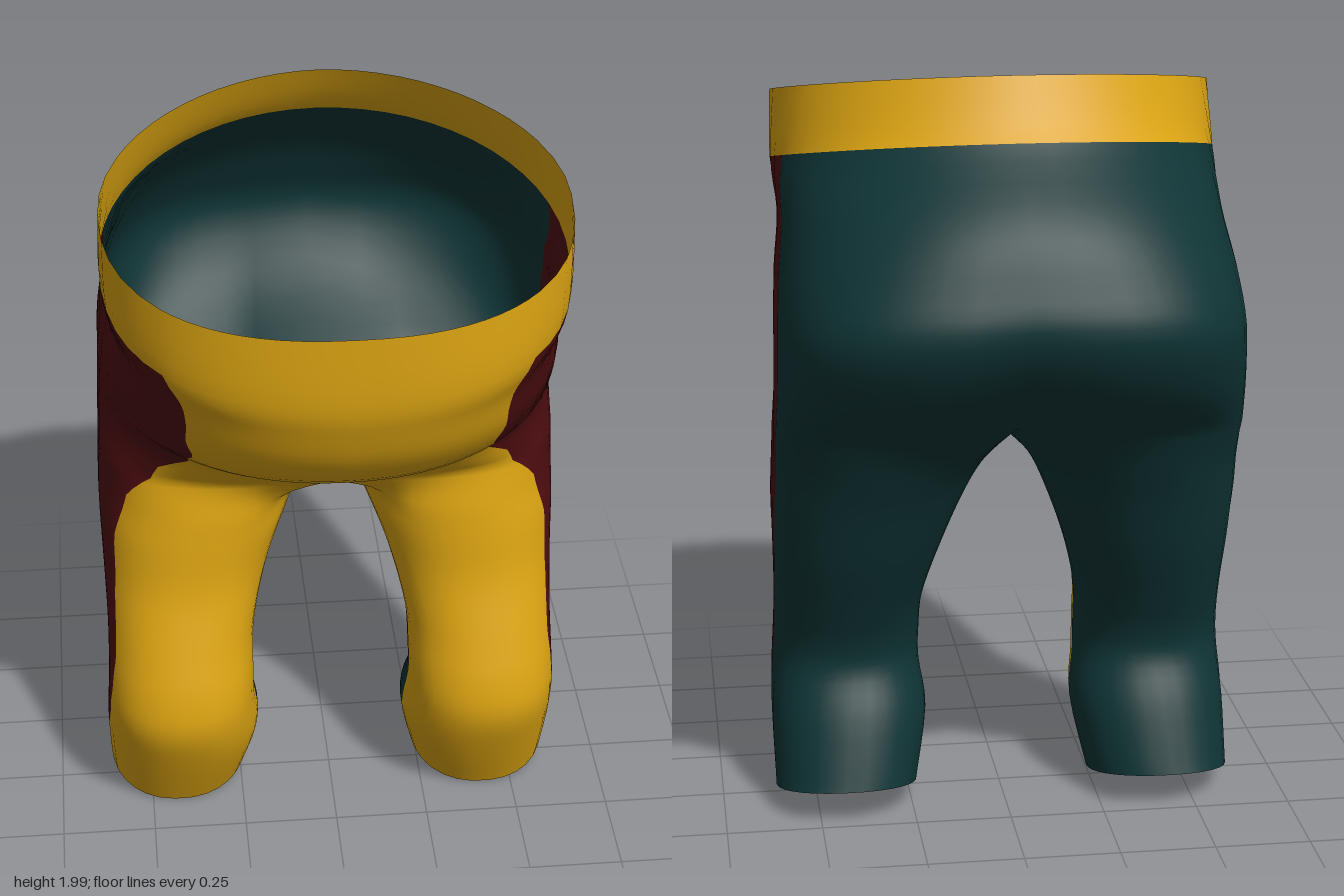
import * as THREE from 'three';
import { mergeVertices } from 'three/addons/utils/BufferGeometryUtils.js';

// Torso rings, waist to crotch: front y, z, back y, z, half width, front and back squareness, cleft depth
const TORSO = [
  [1.81, 0.70, 2.00, -0.32, 0.57, 2.3, 1.9, 0],
  [1.63, 0.695, 1.85, -0.41, 0.575, 2.4, 2.0, 0],
  [1.53, 0.67, 1.69, -0.58, 0.565, 2.3, 2.4, 0],
  [1.41, 0.615, 1.55, -0.66, 0.58, 2.2, 2.9, 0],
  [1.29, 0.50, 1.42, -0.70, 0.59, 2.1, 3.1, 0.01],
  [1.18, 0.31, 1.26, -0.62, 0.595, 2.1, 3.0, 0.04],
  [1.07, 0.16, 1.12, -0.47, 0.60, 3.4, 3.2, 0.11],
];
// Leg rings, thigh to cuff: front y, z, back y, z, inner x, outer x
const LEG = [
  [0.97, 0.155, 1.00, -0.385, 0.06, 0.605],
  [0.87, 0.165, 0.89, -0.33, 0.11, 0.607],
  [0.73, 0.18, 0.73, -0.26, 0.165, 0.603],
  [0.57, 0.23, 0.58, -0.185, 0.205, 0.60],
  [0.44, 0.27, 0.47, -0.135, 0.212, 0.603],
  [0.33, 0.275, 0.39, -0.13, 0.212, 0.608],
  [0.19, 0.22, 0.28, -0.19, 0.20, 0.613],
  [0.01, 0.13, 0.11, -0.26, 0.235, 0.61],
];
const CROTCH = TORSO.length - 1;
const LAST = CROTCH + LEG.length;

// Colour borders as [y, z], from the top down
const FRONT_EDGE = [[1.64, 0.55], [1.6, 0.555], [1.47, 0.51], [1.34, 0.43], [1.21, 0.245], [1.13, 0.14],
  [1.0, 0.075], [0.86, 0.06], [0.7, 0.085], [0.52, 0.14], [0.41, 0.14], [0.31, 0.11], [0.24, 0.05], [0.07, -0.02]];
const BACK_EDGE = [[1.755, -0.01], [1.66, -0.03], [1.58, -0.1], [1.42, -0.23], [1.32, -0.275], [1.21, -0.275],
  [1.08, -0.235], [0.89, -0.155], [0.73, -0.075], [0.57, 0.005], [0.41, 0.05], [0.24, 0.05], [0.07, -0.02]];
const INNER_EDGE = [[1.06, -0.14], [0.9, -0.09], [0.73, -0.02], [0.57, 0.04], [0.41, 0.08], [0.25, 0.05], [0.07, -0.03]];

const lerp = THREE.MathUtils.lerp;
const spow = (s, n) => Math.sign(s) * Math.abs(s) ** (2 / n);

function edgeZ(edge, y) {
  if (y >= edge[0][0]) return edge[0][1];
  for (let i = 1; i < edge.length; i++) {
    const [y0, z0] = edge[i - 1], [y1, z1] = edge[i];
    if (y >= y1) return lerp(z0, z1, (y0 - y) / (y0 - y1));
  }
  return edge.at(-1)[1];
}

function torsoPoint(row, u) {
  const [yf, zf, yb, zb, w, nf, nb, cleft] = TORSO[row];
  const a = u * Math.PI, n = a < Math.PI / 2 ? nf : nb;
  const x = u === 0 || u === 1 ? 0 : w * spow(Math.sin(a), n);
  let z = (zf + zb) / 2 + (zf - zb) / 2 * spow(Math.cos(a), n);
  const y = lerp(yf, yb, Math.max(0, (zf - z) / (zf - zb)) ** 1.2);
  if (u > 0.5) z += cleft * Math.max(0, 1 - x / 0.25) ** 2;
  return new THREE.Vector3(x, y, z);
}

function legPoint(row, a) {
  const [yf, zf, yb, zb, xi, xo] = LEG[row - CROTCH - 1];
  const c = spow(Math.cos(a), 2.2), s = spow(Math.sin(a), 2.2);
  return new THREE.Vector3((xi + xo) / 2 + (xo - xi) / 2 * s, lerp(yf, yb, (1 - c) / 2), lerp(zf, zb, (1 - c) / 2));
}

// u runs front, outside, back; s runs back, inside, front
const outerRow = (row, u) => row <= CROTCH ? torsoPoint(row, u) : legPoint(row, Math.PI * (1.5 * u - 0.25));
function innerRow(row, s) {
  if (row > CROTCH) return legPoint(row, Math.PI * (1.25 + 0.5 * s));
  const p = torsoPoint(CROTCH, 1).lerp(torsoPoint(CROTCH, 0), s);
  p.y -= 0.05 * Math.sin(Math.PI * s);
  return p;
}

// Smooth interpolation between rings
function surface(rowFn, v, u) {
  const i = Math.min(Math.floor(v), LAST - 1), t = v - i;
  const lo = i >= CROTCH ? CROTCH : 0, hi = i >= CROTCH ? LAST : CROTCH;
  const [a, b, c, d] = [Math.max(lo, i - 1), i, i + 1, Math.min(hi, i + 2)].map((r) => rowFn(r, u));
  const f = (k) => b[k] + 0.5 * t * (c[k] - a[k] + t * (2 * a[k] - 5 * b[k] + 4 * c[k] - d[k]
    + t * (3 * (b[k] - c[k]) + d[k] - a[k])));
  return new THREE.Vector3(f('x'), f('y'), f('z'));
}
const outer = (v, u) => surface(outerRow, v, u);
const inner = (v, s) => surface(innerRow, v, s);

// Finds where a ring crosses a colour border
function cross(fn, v, edge, lo, hi, sign) {
  for (let i = 0; i < 24; i++) {
    const m = (lo + hi) / 2, p = fn(v, m);
    if (sign * (p.z - edgeZ(edge, p.y)) > 0) lo = m; else hi = m;
  }
  return (lo + hi) / 2;
}
const backU = (v) => cross(outer, v, BACK_EDGE, v > CROTCH ? 0.17 : 0.1, 0.95, 1);
const frontU = (v) => Math.min(backU(v), cross(outer, v, FRONT_EDGE, v > CROTCH ? 0.17 : 0.1, 0.95, 1));
const innerS = (v) => cross(inner, v, INNER_EDGE, 0, 1, -1);
const zero = () => 0, one = () => 1;

export function createModel() {
  const mustard = new THREE.MeshStandardMaterial({ color: 0xdba412, side: THREE.DoubleSide });
  mustard.name = 'mustard';
  const maroon = new THREE.MeshStandardMaterial({ color: 0x4d0d10, side: THREE.DoubleSide });
  maroon.name = 'maroon';
  const teal = new THREE.MeshStandardMaterial({ color: 0x0f3435, side: THREE.DoubleSide });
  teal.name = 'teal';

  const parts = {
    waistband: { material: mustard, index: [] },
    frontPanel: { material: mustard, index: [] },
    sidePanels: { material: maroon, index: [] },
    backPanel: { material: teal, index: [] },
  };
  const positions = [];

  // Lays a strip of cloth between two borders, on both sides of the body
  function strip(part, fn, v0, v1, from, to, cols) {
    const rows = (v1 - v0) * 4;
    for (const side of [1, -1]) {
      const base = positions.length / 3;
      for (let r = 0; r <= rows; r++) {
        const v = v0 + r / 4, a = from(v), b = to(v);
        for (let c = 0; c <= cols; c++) {
          const p = fn(v, c === cols ? b : lerp(a, b, c / cols));
          positions.push(side * p.x, p.y, p.z);
        }
      }
      for (let r = 0; r < rows; r++) {
        for (let c = 0; c < cols; c++) {
          const i = base + r * (cols + 1) + c, j = i + 1, k = i + cols + 1, l = k + 1;
          parts[part].index.push(...(side > 0 ? [i, k, j, j, k, l] : [i, j, k, j, l, k]));
        }
      }
    }
  }

  // Waistband, then the panels running down the outside of the legs
  for (const [v0, v1, front, middle, back] of [
    [0, 1, 'waistband', 'waistband', 'waistband'],
    [1, LAST, 'frontPanel', 'sidePanels', 'backPanel'],
  ]) {
    strip(front, outer, v0, v1, zero, frontU, 10);
    strip(middle, outer, v0, v1, frontU, backU, 8);
    strip(back, outer, v0, v1, backU, one, 12);
  }
  // Inside of the legs
  strip('backPanel', inner, CROTCH, LAST, zero, innerS, 5);
  strip('frontPanel', inner, CROTCH, LAST, innerS, one, 5);

  // Weld everything so that shading runs smoothly across the colour borders
  let cloth = new THREE.BufferGeometry();
  cloth.setAttribute('position', new THREE.Float32BufferAttribute(positions, 3));
  cloth.setIndex(Object.values(parts).flatMap((p) => p.index));
  cloth = mergeVertices(cloth, 1e-4);
  cloth.computeVertexNormals();

  const model = new THREE.Group();
  model.name = 'leggings';
  let start = 0;
  for (const [name, { material, index }] of Object.entries(parts)) {
    const geometry = new THREE.BufferGeometry();
    geometry.setAttribute('position', cloth.getAttribute('position'));
    geometry.setAttribute('normal', cloth.getAttribute('normal'));
    geometry.setIndex(Array.from(cloth.index.array.slice(start, start + index.length)));
    start += index.length;
    const mesh = new THREE.Mesh(geometry, material);
    mesh.name = name;
    model.add(mesh);
  }
  return model;
}
